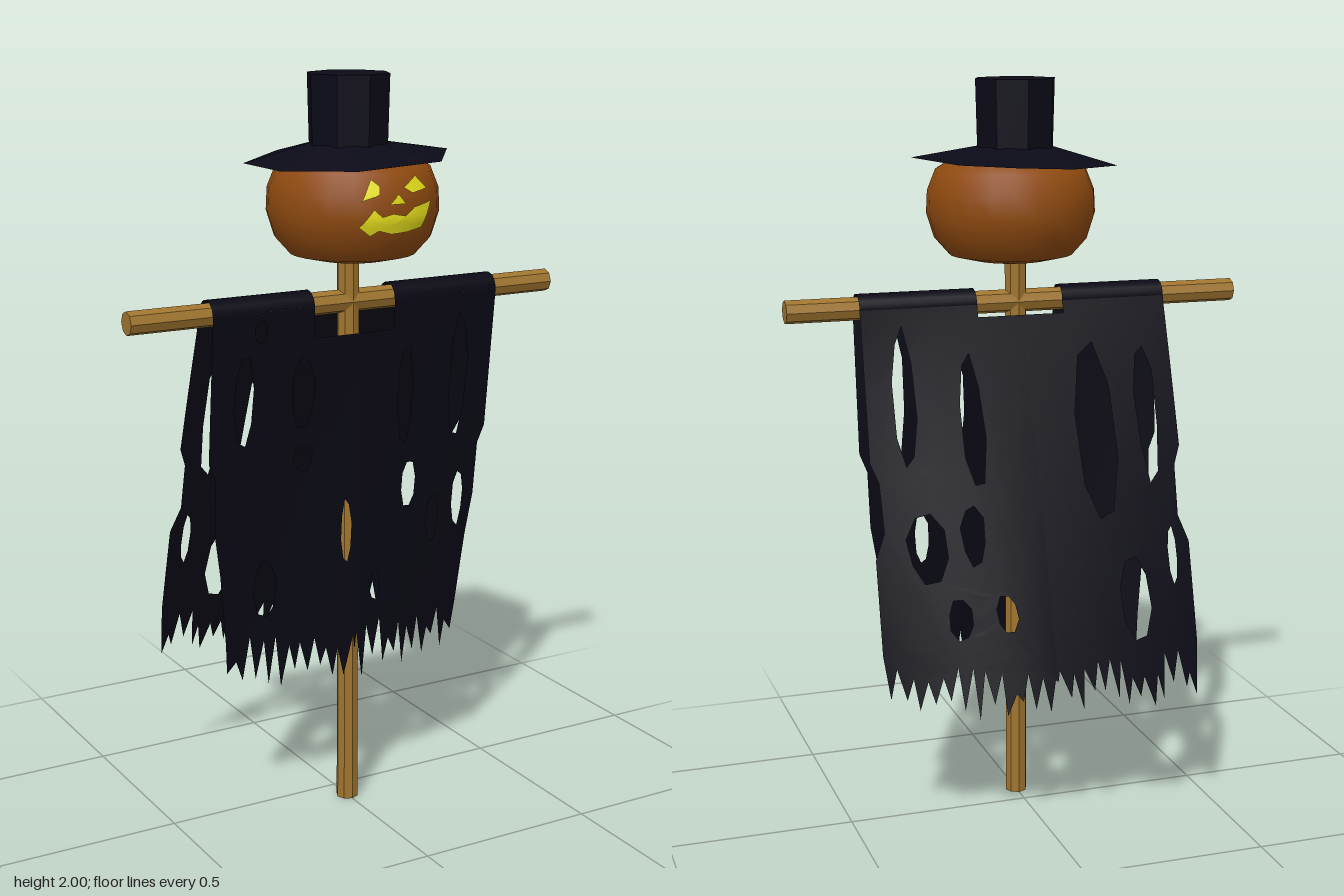
import * as THREE from 'three';
import { mergeVertices } from 'three/addons/utils/BufferGeometryUtils.js';

const mat = (color, extra = {}) => new THREE.MeshStandardMaterial({ color, ...extra });
const wood = mat(0xa0752f, { flatShading: true });
const pumpkin = mat(0x8f4a10);
const glow = mat(0xe8e01c, { side: THREE.DoubleSide });
const felt = mat(0x0b0a17, { flatShading: true, side: THREE.DoubleSide });
const rag = mat(0x090814, { side: THREE.DoubleSide });

const Z = 0.074;      // depth of the post and head
const BAR_Y = 1.412;
const HEAD_X = 0.013;

let seed = 7;
const rand = () => (seed = (seed * 16807) % 2147483647) / 2147483647;

function add(parent, name, geometry, material) {
  const mesh = new THREE.Mesh(geometry, material);
  mesh.name = name;
  parent.add(mesh);
  return mesh;
}

const polygon = (pts) => new THREE.Shape(pts.map(([x, y]) => new THREE.Vector2(x, y)));

// Flat outline, split into short edges, then bent onto a surface z = depth(x, y)
function drape(shape, maxEdge, depth) {
  const flat = new THREE.ShapeGeometry(shape).toNonIndexed().attributes.position;
  const out = [];
  const split = (a, b, c) => {
    const ab = a.distanceTo(b), bc = b.distanceTo(c), ca = c.distanceTo(a);
    const longest = Math.max(ab, bc, ca);
    if (longest <= maxEdge) {
      for (const v of [a, b, c]) out.push(v.x, v.y, depth(v.x, v.y));
    } else if (longest === ab) {
      const m = a.clone().add(b).multiplyScalar(0.5);
      split(a, m, c);
      split(m, b, c);
    } else if (longest === bc) split(b, c, a);
    else split(c, a, b);
  };
  const at = (i) => new THREE.Vector2(flat.getX(i), flat.getY(i));
  for (let i = 0; i < flat.count; i += 3) split(at(i), at(i + 1), at(i + 2));
  const geo = new THREE.BufferGeometry();
  geo.setAttribute('position', new THREE.Float32BufferAttribute(out, 3));
  const merged = mergeVertices(geo);
  merged.computeVertexNormals();
  return merged;
}

// Half a ragged sheet on side s; edge lists [inset, y] down the outer side
function raggedHalf(s, outer, sheet) {
  const { neckY, edge, tips, tear, holes, depth } = sheet;
  const pts = [[0, neckY], [0.12, neckY], [0.12, BAR_Y], [outer, BAR_Y]];
  for (const [inset, y] of edge) pts.push([outer - inset, y]);
  // torn hem: long tips between short and deep tears
  const width = outer - edge[edge.length - 1][0] - 0.005;
  const step = width / tips;
  for (let i = 0; i < tips; i++) {
    const x = width - step * i;
    pts.push([x - step * 0.3 * rand(), 0.36 + rand() * 0.06]);
    pts.push([x - step * (0.6 + rand() * 0.3), 0.42 + rand() * tear]);
  }
  pts.push([0, 0.45]);
  const shape = polygon(pts.map(([x, y]) => [s * x, y]));
  // holes are [x, y, half width, half height]
  for (const [hx, hy, w, h] of holes.filter((q) => q[0] * s > 0)) {
    const ring = [];
    for (let k = 0; k < 8; k++) {
      const a = (k / 8) * Math.PI * 2 + 0.25, r = 0.82 + rand() * 0.18;
      ring.push([hx + Math.cos(a) * w * r, hy + Math.sin(a) * h * r]);
    }
    shape.holes.push(polygon(ring));
  }
  return drape(shape, 0.09, depth);
}

function buildCloak() {
  const cloak = new THREE.Group();
  cloak.name = 'raggedCloak';
  const fall = (y) => (BAR_Y - y) / (BAR_Y - 0.4);

  // the front rests against the post and drifts back at the sides
  const front = {
    neckY: 1.33, tips: 10, tear: 0.13,
    edge: [[0, 1.02], [0.02, 0.97], [0.022, 0.82], [0.04, 0.7], [0.06, 0.5]],
    holes: [
      [-0.32, 1.18, 0.03, 0.14], [-0.15, 1.19, 0.036, 0.11], [-0.15, 1.01, 0.03, 0.04],
      [-0.25, 0.65, 0.034, 0.088], [-0.025, 0.79, 0.016, 0.1], [-0.275, 1.36, 0.02, 0.035],
      [0.16, 1.14, 0.028, 0.16], [0.18, 0.89, 0.027, 0.075], [0.335, 1.17, 0.03, 0.2],
      [0.27, 0.77, 0.022, 0.08], [0.36, 0.82, 0.022, 0.09], [0.07, 0.62, 0.02, 0.05],
    ],
    depth: (x, y) => 0.114 - fall(y) * 0.105 * Math.abs(x) / 0.42,
  };
  // the back is blown outward, least at its left edge
  const back = {
    neckY: 1.38, tips: 12, tear: 0.08,
    edge: [[0, 1.02], [0.02, 0.97], [0.025, 0.84], [0, 0.77], [0.003, 0.52]],
    holes: [
      [-0.325, 1.12, 0.034, 0.2], [-0.175, 1.06, 0.058, 0.25], [-0.24, 0.64, 0.045, 0.125],
      [-0.36, 0.74, 0.014, 0.08], [0.165, 1.12, 0.034, 0.19], [0.19, 0.83, 0.035, 0.09],
      [0.12, 0.63, 0.03, 0.055], [0.34, 1.18, 0.032, 0.2], [0.31, 0.8, 0.055, 0.1],
      [0.24, 0.62, 0.035, 0.06],
    ],
    depth: (x, y) => {
      const t = fall(y), swing = x > 0 ? 0.336 - 0.75 * x * x : 0.336 - 0.05 * x - 0.2 * x * x;
      return 0.036 - swing * (t + 0.12 * t * (1 - t));
    },
  };

  for (const s of [-1, 1]) {
    const side = s < 0 ? 'Right' : 'Left';
    const outer = s < 0 ? 0.412 : 0.44;
    add(cloak, 'frontCloth' + side, raggedHalf(s, outer, front), rag);
    add(cloak, 'backCloth' + side, raggedHalf(s, outer, back), rag);
    // fold over the crossbar
    const fold = new THREE.CylinderGeometry(0.039, 0.039, outer - 0.12, 10, 1, true, 0, Math.PI);
    fold.rotateZ(Math.PI / 2);
    fold.translate(s * (outer + 0.12) / 2, BAR_Y, Z);
    add(cloak, 'shoulderFold' + side, fold, rag);
  }
  return cloak;
}

function buildHead() {
  const head = new THREE.Group();
  head.name = 'pumpkinHead';
  const profile = [
    [0, 1.535], [0.1, 1.525], [0.165, 1.54], [0.205, 1.585], [0.225, 1.65],
    [0.222, 1.71], [0.2, 1.765], [0.15, 1.795], [0.07, 1.8], [0, 1.795],
  ];
  const body = new THREE.LatheGeometry(profile.map(([r, y]) => new THREE.Vector2(r, y)), 24);
  add(head, 'pumpkin', body, pumpkin).position.set(HEAD_X, 0, Z);

  // glowing features follow the curve of the pumpkin
  const radiusAt = (y) => {
    const i = profile.findIndex((p, k) => k > 1 && p[1] >= y);
    const [r0, y0] = profile[i - 1], [r1, y1] = profile[i];
    return r0 + (r1 - r0) * (y - y0) / (y1 - y0);
  };
  const faceZ = (x, y) => Z + Math.sqrt(radiusAt(y) ** 2 - (x - HEAD_X) ** 2) + 0.004;
  const features = {
    rightEye: [[-0.08, 1.7], [-0.035, 1.715], [-0.03, 1.735], [-0.05, 1.753]],
    leftEye: [[0.035, 1.73], [0.06, 1.715], [0.115, 1.722], [0.08, 1.755]],
    nose: [[-0.01, 1.69], [0.037, 1.69], [0.017, 1.715]],
    mouth: [
      [-0.085, 1.635], [-0.055, 1.612], [-0.035, 1.625], [0, 1.615], [0.05, 1.618], [0.095, 1.625],
      [0.13, 1.69], [0.065, 1.68], [0.035, 1.66], [0, 1.667], [-0.03, 1.66], [-0.05, 1.68],
    ],
  };
  for (const [name, pts] of Object.entries(features)) add(head, name, drape(polygon(pts), 0.025, faceZ), glow);
  return head;
}

function buildHat() {
  const hat = new THREE.Group();
  hat.name = 'hat';
  add(hat, 'crown', new THREE.CylinderGeometry(0.11, 0.105, 0.19, 8), felt).position.set(0, 1.905, Z);

  // crooked eight-sided brim, drooping outward
  const rim = [
    [0.13, 0.315], [0.275, 0.115], [0.215, -0.13], [0.08, -0.185],
    [-0.07, -0.19], [-0.25, -0.03], [-0.25, 0.17], [-0.11, 0.32],
  ];
  const brim = new THREE.CylinderGeometry(0.095, 0.26, 0.04, 8, 1, true, 0.4);
  const p = brim.attributes.position;
  for (let i = 0; i <= 8; i++) {
    const [x, z] = rim[i % 8];
    p.setXYZ(9 + i, x, -0.02 + x * 0.045, z - Z);
  }
  add(hat, 'brim', brim, felt).position.set(0, 1.805, Z);
  return hat;
}

export function createModel() {
  const model = new THREE.Group();
  model.name = 'scarecrow';

  // wooden cross
  add(model, 'post', new THREE.CylinderGeometry(0.03, 0.03, 1.55, 8), wood).position.set(0, 0.775, Z);
  const bar = add(model, 'crossbar', new THREE.CylinderGeometry(0.031, 0.031, 1.26, 8), wood);
  bar.rotation.z = Math.PI / 2;
  bar.position.set(0, BAR_Y, Z);

  model.add(buildCloak(), buildHead(), buildHat());
  return model;
}
